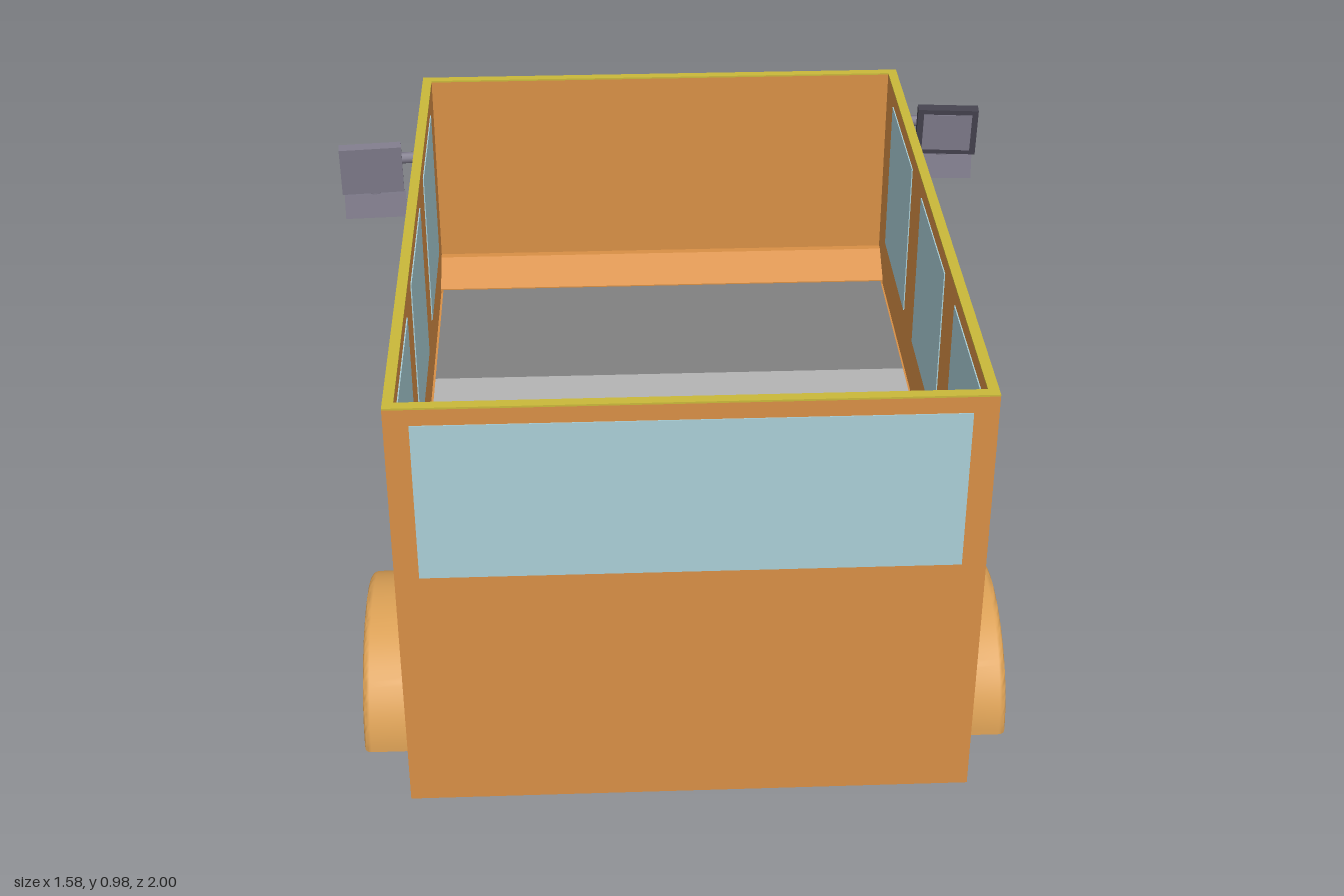
import * as THREE from 'three';
import { toCreasedNormals } from 'three/addons/utils/BufferGeometryUtils.js';

const paint = (color, extra = {}) => {
  const m = new THREE.MeshStandardMaterial({ color });
  return Object.assign(m, extra);
};
const BODY = paint(0xd88f45), FENDER = paint(0xdba055), GLASS = paint(0xa9ced6);
const TRIM = paint(0xc9b83a), METAL = paint(0x807c8c), DARK = paint(0x45434f);
const SEAT = paint(0x808080), AISLE = paint(0xb4b4b4), CHROME = paint(0x9a9ca4), LENS = paint(0xa8a870);

const W = 0.595, BACK = -0.56, FLOOR = 0.43, TOP = 0.98;

function add(parent, name, geometry, material, x = 0, y = 0, z = 0) {
  const mesh = new THREE.Mesh(geometry, material);
  mesh.name = name;
  mesh.position.set(x, y, z);
  parent.add(mesh);
  return mesh;
}

// Box given by its minimum and maximum on each axis
function block(parent, name, material, [x0, x1], [y0, y1], [z0, z1]) {
  return add(parent, name, new THREE.BoxGeometry(x1 - x0, y1 - y0, z1 - z0), material,
    (x0 + x1) / 2, (y0 + y1) / 2, (z0 + z1) / 2);
}

// Rectangular ring standing from y0 to y1
function wallRing(y0, y1, t) {
  const rect = (P, i) => {
    const p = new P();
    p.moveTo(-W + i, -1 + i).lineTo(W - i, -1 + i);
    p.lineTo(W - i, -BACK - i).lineTo(-W + i, -BACK - i).closePath();
    return p;
  };
  const shape = rect(THREE.Shape, 0);
  shape.holes.push(rect(THREE.Path, t));
  return new THREE.ExtrudeGeometry(shape, { depth: y1 - y0, bevelEnabled: false })
    .rotateX(-Math.PI / 2).translate(0, y0, 0);
}

// Faceted bonnet with a raised middle and a projecting nose
function bonnetGeometry() {
  const xs = [-W, -0.43, -0.33, 0.33, 0.43, W];
  const mid = i => i === 2 || i === 3;
  const rows = [
    i => [xs[i], mid(i) ? 0.53 : 0.51, BACK],
    i => [xs[i], mid(i) ? 0.55 : 0.51, -0.6],
    i => [xs[i] * (mid(i) ? 0.94 : 1), mid(i) ? 0.55 : 0.51, -0.9],
    i => [xs[i], mid(i) ? 0.52 : 0.51, mid(i) ? -1 : -0.94],
  ].map(f => xs.map((_, i) => f(i)));
  const low = rows.map(r => r.map(([x, , z]) => [x, 0, z]));
  const pos = [];
  const quad = (a, b, c, d) => pos.push(...a, ...b, ...c, ...a, ...c, ...d);
  for (let r = 0; r < 3; r++) {
    for (let i = 0; i < 5; i++) {
      quad(rows[r][i], rows[r][i + 1], rows[r + 1][i + 1], rows[r + 1][i]);
      quad(low[r][i], low[r + 1][i], low[r + 1][i + 1], low[r][i + 1]);
    }
    quad(rows[r][0], rows[r + 1][0], low[r + 1][0], low[r][0]);
    quad(rows[r][5], low[r][5], low[r + 1][5], rows[r + 1][5]);
  }
  for (let i = 0; i < 5; i++) quad(rows[3][i], rows[3][i + 1], low[3][i + 1], low[3][i]);
  const g = new THREE.BufferGeometry();
  g.setAttribute('position', new THREE.Float32BufferAttribute(pos, 3));
  g.computeVertexNormals();
  return g;
}

// Half-oval wheel cover with a softened rim, projecting along +x
function fenderGeometry() {
  const s = new THREE.Shape();
  s.absellipse(0, 0, 0.245, 0.215, 0, Math.PI, false);
  s.closePath();
  const g = new THREE.ExtrudeGeometry(s, {
    depth: 0.095, curveSegments: 32, bevelThickness: 0.015, bevelSize: 0.015, bevelSegments: 4,
  });
  g.rotateY(Math.PI / 2);
  // keep the softened lower edge on the ground
  const p = g.attributes.position;
  for (let i = 0; i < p.count; i++) p.setY(i, Math.max(0, p.getY(i)));
  return toCreasedNormals(g, 0.9);
}

// Wing mirror: arm, stem, large plate and small lower plate
function wingMirror(side, z, y, inset) {
  const g = new THREE.Group();
  g.name = side > 0 ? 'leftMirror' : 'rightMirror';
  const rod = (name, a, b) => add(g, name, new THREE.TubeGeometry(
    new THREE.LineCurve3(new THREE.Vector3(...a), new THREE.Vector3(...b)), 1, 0.014, 10), METAL);
  rod('mirrorArm', [0, 0, 0], [side * 0.125, 0, 0.01]);
  rod('mirrorStem', [side * 0.12, 0.01, 0.01], [side * 0.12, -0.12, 0.01]);
  rod('mirrorBracket', [side * 0.12, 0, 0], [side * 0.12, 0, 0.05]);
  const plate = new THREE.Group();
  plate.name = 'mirrorHead';
  plate.position.set(side * 0.12, 0, 0.06);
  plate.rotation.set(0.1, side * -0.08, 0);
  add(plate, 'mirrorPlate', new THREE.BoxGeometry(0.15, 0.125, 0.028), inset ? DARK : METAL);
  if (inset) add(plate, 'mirrorGlass', new THREE.BoxGeometry(0.12, 0.1, 0.004), METAL, 0, 0, 0.014);
  g.add(plate);
  const lower = add(g, 'lowerMirror', new THREE.BoxGeometry(0.15, 0.06, 0.02), METAL, side * 0.12, -0.12, 0.02);
  lower.rotation.set(-0.15, side * -0.08, 0);
  g.position.set(side * W, y, z);
  return g;
}

export function createModel() {
  const model = new THREE.Group();
  model.name = 'openTopVan';

  // Body
  block(model, 'lowerBody', BODY, [-W, W], [0, FLOOR], [BACK, 1]);
  add(model, 'cabinWalls', wallRing(FLOOR, TOP - 0.004, 0.022), BODY);
  add(model, 'rimTrim', wallRing(TOP - 0.004, TOP, 0.022), TRIM);
  add(model, 'bonnet', bonnetGeometry(), BODY);

  // Cabin floor panels and the sloping ledge ahead of them
  const inner = [-0.567, 0.567];
  block(model, 'frontFloor', SEAT, inner, [FLOOR, 0.437], [-0.45, 0]);
  block(model, 'middleFloor', AISLE, inner, [FLOOR, 0.437], [0, 0.51]);
  block(model, 'rearFloor', SEAT, inner, [FLOOR, 0.437], [0.51, 0.95]);
  const ledge = new THREE.Shape();
  ledge.moveTo(0.538, FLOOR).lineTo(0.44, FLOOR).lineTo(0.44, 0.44).lineTo(0.52, 0.49).lineTo(0.538, 0.49);
  add(model, 'floorLedge', new THREE.ExtrudeGeometry(ledge, { depth: 1.146, bevelEnabled: false })
    .rotateY(Math.PI / 2), BODY, -0.573);
  block(model, 'rearSill', BODY, [-0.573, 0.573], [FLOOR, 0.45], [0.95, 0.978]);

  // Windows
  block(model, 'rearWindow', GLASS, [-0.545, 0.545], [0.58, 0.94], [0.99, 1.002]);
  block(model, 'rearWindowInside', GLASS, [-0.49, 0.49], [0.56, 0.945], [0.974, 0.985]);
  block(model, 'windscreen', GLASS, [-0.5, 0.5], [0.59, 0.945], [BACK - 0.002, BACK + 0.01]);
  for (const s of [-1, 1]) {
    const x = [s * 0.584 - 0.0135, s * 0.584 + 0.0135];
    for (const z of [[0.58, 0.91], [0.08, 0.44], [-0.42, -0.07]])
      block(model, 'sideWindow', GLASS, x, [0.56, 0.94], z);
  }

  // Wheel covers and headlights
  const fender = fenderGeometry();
  const ring = new THREE.CylinderGeometry(0.082, 0.082, 0.022, 32).rotateX(Math.PI / 2);
  const lens = new THREE.CylinderGeometry(0.07, 0.07, 0.006, 32).rotateX(Math.PI / 2);
  for (const s of [-1, 1]) {
    for (const z of [0.587, -0.515]) {
      const f = add(model, 'wheelCover', fender, FENDER, s * W, 0, z);
      if (s < 0) f.rotation.y = Math.PI;
    }
    add(model, 'headlightRing', ring, CHROME, s * 0.51, 0.43, -0.95);
    add(model, 'headlightLens', lens, LENS, s * 0.51, 0.43, -0.96);
  }

  model.add(wingMirror(1, -0.515, 0.86, true), wingMirror(-1, -0.375, 0.85, false));
  return model;
}
